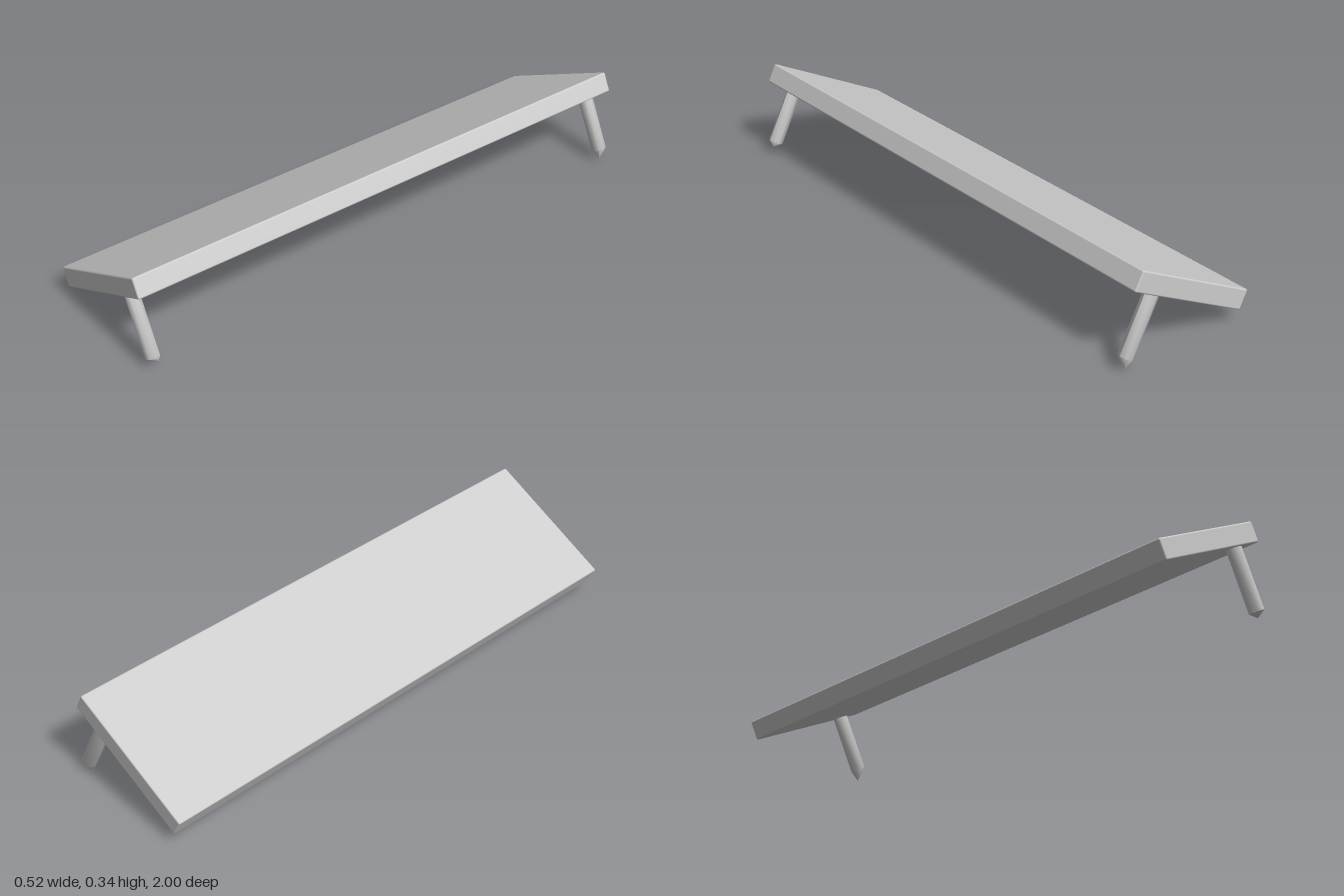
import * as THREE from 'three';
import { toCreasedNormals } from 'three/addons/utils/BufferGeometryUtils.js';
import { RoundedBoxGeometry } from 'three/addons/geometries/RoundedBoxGeometry.js';

const material = new THREE.MeshStandardMaterial({ color: 0xcccccc });

// Eight-sided peg with a hewn point; tip is [x, y, z offset] in the board's frame.
function makeLeg(name, z, tip) {
  const x = 0.154, shoulder = -0.25, radius = 0.028;
  const profile = [
    [0, tip[1]],
    [radius, shoulder],
    [radius, -0.03],
    [0, -0.03],
  ].map(([r, y]) => new THREE.Vector2(r, y));
  const geometry = new THREE.LatheGeometry(profile, 8);
  geometry.scale(1, 1, 0.9);

  // Skew the point off the peg's axis
  const pos = geometry.attributes.position;
  for (let i = 0; i < pos.count; i++) {
    if (pos.getY(i) < shoulder - 0.001) {
      pos.setX(i, tip[0] - x);
      pos.setZ(i, tip[2]);
    }
  }
  const leg = new THREE.Mesh(toCreasedNormals(geometry, 0.85), material);
  leg.name = name;
  leg.position.set(x, 0, z);
  return leg;
}

export function createModel() {
  const model = new THREE.Group();
  model.name = 'slopingBench';

  // Everything is built square to the board, then tilted together
  const bench = new THREE.Group();
  bench.name = 'tiltedBench';
  bench.position.set(-0.0145, 0.1945, 0);
  bench.rotation.z = THREE.MathUtils.degToRad(27);
  model.add(bench);

  // Plank with slightly softened edges
  const board = new THREE.Mesh(new RoundedBoxGeometry(0.525, 0.072, 2, 2, 0.006), material);
  board.name = 'board';
  bench.add(board);

  // Two pegs under the raised edge: one cut blunt, one pointed
  bench.add(makeLeg('frontLeg', 0.97, [0.165, -0.269, -0.01]));
  bench.add(makeLeg('backLeg', -0.97, [0.138, -0.289, -0.003]));

  return model;
}
